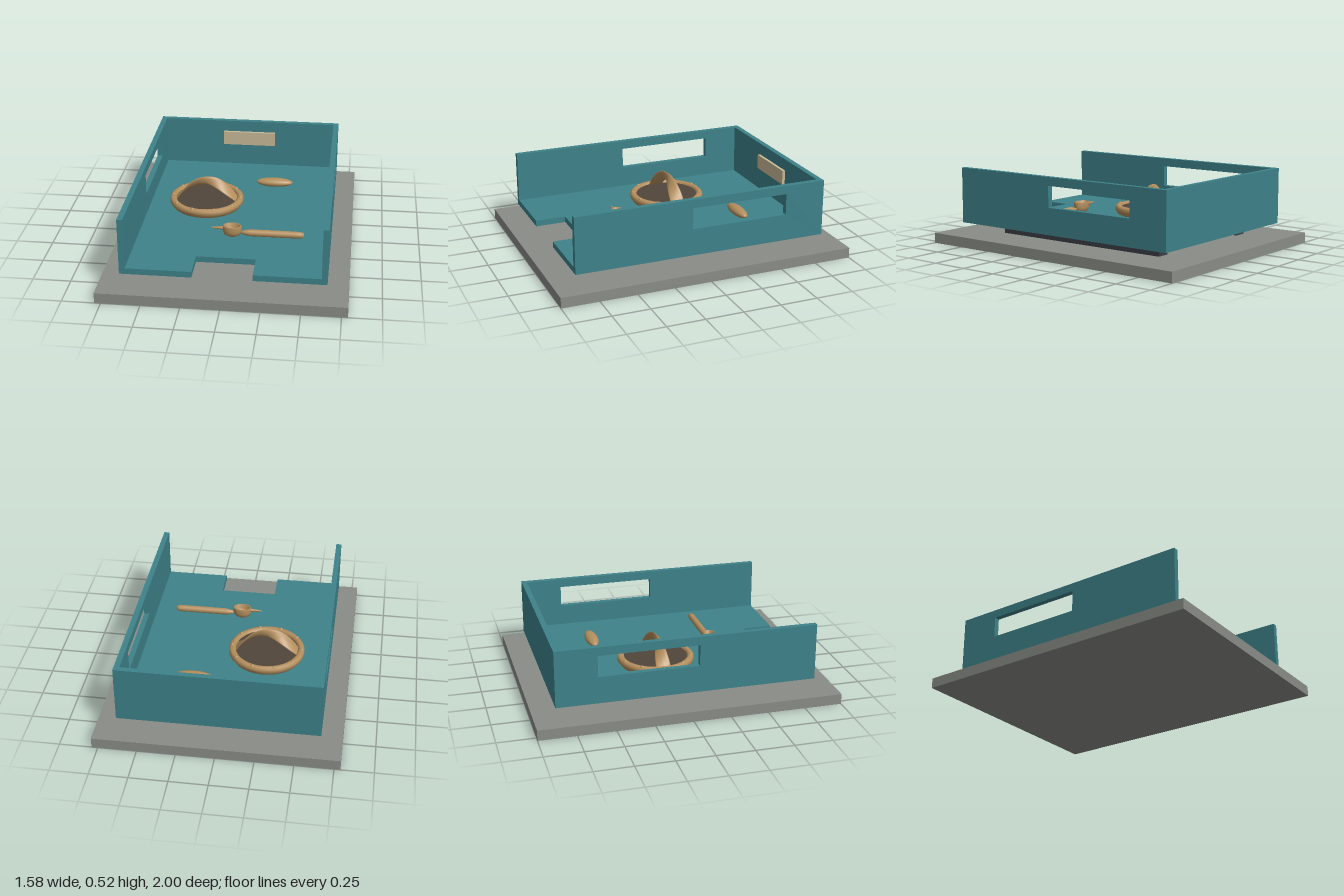
import * as THREE from 'three';

const mat = (name, color, side = THREE.FrontSide) => {
  const m = new THREE.MeshStandardMaterial({ color, side });
  m.name = name;
  return m;
};

export function createModel() {
  const root = new THREE.Group();
  root.name = 'servingTray';
  const teal = mat('teal paint', 0x3d8289);
  const grey = mat('grey stone', 0x898c86);
  const dark = mat('dark rail', 0x3a3c45);
  const wood = mat('light wood', 0xb48f5e);
  const brown = mat('dark brown', 0x51463b);
  const cream = mat('cream label', 0xc8ba97);

  const add = (name, geo, material, x = 0, y = 0, z = 0, parent = root) => {
    const m = new THREE.Mesh(geo, material);
    m.name = name;
    m.position.set(x, y, z);
    parent.add(m);
    return m;
  };
  // box given by its minimum and maximum corners
  const box = (name, material, x0, x1, y0, y1, z0, z1) =>
    add(name, new THREE.BoxGeometry(x1 - x0, y1 - y0, z1 - z0), material,
      (x0 + x1) / 2, (y0 + y1) / 2, (z0 + z1) / 2);
  const poly = pts => pts.map(p => new THREE.Vector2(...p));

  // Base slab and the two rails under the tray
  box('baseSlab', grey, -0.79, 0.79, 0, 0.07, -1, 1);
  box('leftRail', dark, 0.4, 0.493, 0.07, 0.14, -0.69, 0.62);
  box('rightRail', dark, -0.493, -0.4, 0.07, 0.14, -0.69, 0.62);

  // Tray floor with a notch in the front edge
  const floor = new THREE.Shape(poly([
    [-0.62, -0.825], [0.62, -0.825], [0.62, 0.86], [0.19, 0.86],
    [0.19, 0.655], [-0.195, 0.655], [-0.195, 0.86], [-0.62, 0.86]]));
  const floorGeo = new THREE.ExtrudeGeometry(floor, { depth: 0.04, bevelEnabled: false });
  floorGeo.rotateX(Math.PI / 2);
  add('trayFloor', floorGeo, teal, 0, 0.18, 0);

  // Side walls with hand openings, and the back wall
  const wall = new THREE.Shape(poly([[-0.86, 0.14], [0.86, 0.14], [0.86, 0.52], [-0.86, 0.52]]));
  wall.holes.push(new THREE.Path(poly([[-0.075, 0.32], [-0.075, 0.463], [0.585, 0.463], [0.585, 0.32]])));
  const wallGeo = new THREE.ExtrudeGeometry(wall, { depth: 0.037, bevelEnabled: false });
  wallGeo.rotateY(Math.PI / 2);
  add('leftWall', wallGeo, teal, 0.618);
  add('rightWall', wallGeo, teal, -0.655);
  box('backWall', teal, -0.618, 0.618, 0.14, 0.52, -0.86, -0.823);
  box('labelPlate', cream, -0.19, 0.19, 0.34, 0.44, -0.823, -0.803);

  // Round dish with a beaded rim
  const dish = new THREE.Group();
  dish.name = 'roundDish';
  dish.position.set(-0.225, 0, -0.105);
  root.add(dish);
  add('dishBody', new THREE.LatheGeometry(poly([
    [0, 0.181], [0.22, 0.181], [0.238, 0.19], [0.255, 0.215], [0.255, 0.235],
    [0.245, 0.247], [0.225, 0.25], [0.212, 0.242], [0.208, 0.225]]), 40), wood, 0, 0, 0, dish);
  add('dishFilling', new THREE.CylinderGeometry(0.21, 0.21, 0.035, 40), brown, 0, 0.2175, 0, dish);
  for (let i = 0; i < 10; i++) {
    const a = (i + 0.5) * Math.PI / 5;
    add('rimBead', new THREE.SphereGeometry(0.014, 10, 8), wood,
      Math.sin(a) * 0.235, 0.242, Math.cos(a) * 0.235, dish);
  }

  // Arched handle: a flat band that makes half a turn from end to end
  const band = new THREE.CylinderGeometry(1, 1, 1, 12, 48);
  const pos = band.attributes.position;
  for (let i = 0; i < pos.count; i++) {
    const t = pos.getY(i) + 0.5;
    const u = pos.getX(i) * (0.028 + 0.022 * Math.abs(2 * t - 1));
    const v = pos.getZ(i) * 0.007;
    const turn = Math.PI * t;
    const slope = Math.atan2(0.127 * Math.PI * Math.cos(Math.PI * t), 0.41);
    const across = u * Math.cos(turn) - v * Math.sin(turn);
    const up = u * Math.sin(turn) + v * Math.cos(turn);
    pos.setXYZ(i,
      -0.205 + 0.41 * t - up * Math.sin(slope),
      0.235 + 0.127 * Math.sin(Math.PI * t) + up * Math.cos(slope),
      across);
  }
  band.computeVertexNormals();
  add('twistedHandle', band, wood, 0, 0, 0, dish);

  // Small ladle: hollow oval cup, turned handle and thin spout
  const ladle = new THREE.Group();
  ladle.name = 'ladle';
  ladle.position.set(0.003, 0, 0.343);
  root.add(ladle);
  const cup = new THREE.LatheGeometry(poly([
    [0, 0.181], [0.035, 0.181], [0.053, 0.192], [0.063, 0.215], [0.063, 0.25],
    [0.058, 0.255], [0.05, 0.252], [0.044, 0.23], [0.03, 0.21], [0, 0.205]]), 24);
  cup.scale(1, 1, 0.7);
  add('ladleCup', cup, wood, 0, 0, 0, ladle);
  const grip = new THREE.LatheGeometry(poly([
    [0, 0.05], [0.009, 0.06], [0.017, 0.085], [0.023, 0.12], [0.023, 0.42],
    [0.021, 0.455], [0.017, 0.472], [0, 0.476]]), 16);
  grip.rotateZ(-Math.PI / 2);
  add('ladleHandle', grip, wood, 0, 0.206, 0, ladle);
  const spout = new THREE.CylinderGeometry(0.004, 0.013, 0.09, 12);
  spout.rotateZ(Math.PI / 2);
  add('ladleSpout', spout, wood, -0.097, 0.232, 0, ladle);

  // Slender oval pod lying at the back
  const pod = new THREE.SphereGeometry(1, 24, 16);
  pod.rotateZ(Math.PI / 2);
  pod.scale(0.13, 0.031, 0.043);
  add('ovalPod', pod, wood, 0.22, 0.212, -0.448);

  return root;
}
